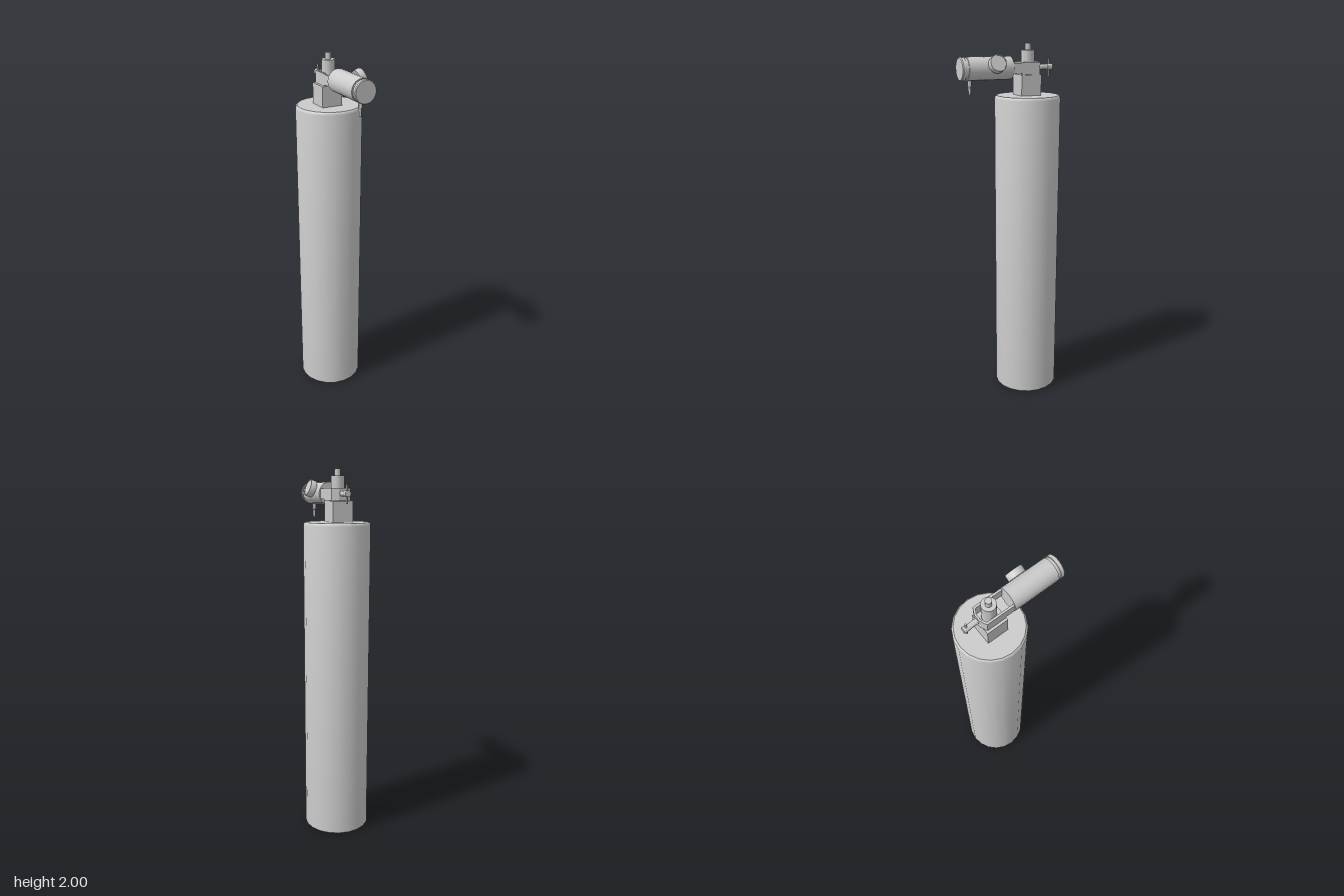
import * as THREE from 'three';
import { toCreasedNormals } from 'three/addons/utils/BufferGeometryUtils.js';

const grey = new THREE.MeshStandardMaterial({ color: 0xcccccc });

export function createModel() {
  const model = new THREE.Group();
  const AXIS_Z = -0.105; // tank and valve axis
  const REG_Y = 1.875; // regulator axis height

  const add = (name, geometry, x = 0, y = 0, z = 0) => {
    const mesh = new THREE.Mesh(geometry, grey);
    mesh.name = name;
    mesh.position.set(x, y, z);
    model.add(mesh);
    return mesh;
  };
  // Closed turned part from [radius, height] pairs, crisp at its edges
  const turned = (profile, sides = 20) => toCreasedNormals(
    new THREE.LatheGeometry(profile.map(([r, h]) => new THREE.Vector2(r, h)), sides), 0.6);

  // Tank
  add('tank', turned([[0, 0], [0.175, 0], [0.18, 0.005], [0.18, 1.712],
    [0.177, 1.722], [0.17, 1.728], [0, 1.728]]), 0, 0, AXIS_Z);

  // Valve block, with the post and knob rising through the yoke
  add('valveBlock', new THREE.BoxGeometry(0.115, 0.115, 0.115), -0.008, 1.781, AXIS_Z);
  add('valvePost', turned([[0, 1.83], [0.036, 1.83], [0.036, 1.966], [0.016, 1.966],
    [0.016, 2], [0, 2]]), -0.002, 0, AXIS_Z);

  // U-shaped yoke, drawn in plan (shape y = -z) and extruded upwards
  const yokePlan = (points, height) => {
    const shape = new THREE.Shape(points.map(([x, z]) => new THREE.Vector2(x, -z)));
    const g = new THREE.ExtrudeGeometry(shape, { depth: height, bevelEnabled: false });
    return g.rotateX(-Math.PI / 2);
  };
  const outer = [[0.053, -0.153], [0.018, -0.17]];
  const inner = [[0.042, -0.146], [0.016, -0.16]];
  const mirror = ([x, z]) => [-x, z];
  const uShape = (front) => [
    [0.053, front], ...outer, ...outer.map(mirror).reverse(), [-0.053, front],
    [-0.042, front], ...inner.map(mirror), ...[...inner].reverse(), [0.042, front],
  ];
  add('yokeFrame', yokePlan(uShape(0.003), 0.054), 0, 1.847, 0);
  add('yokeCollar', yokePlan(uShape(-0.05), 0.064), 0, 1.84, 0).scale.x = 1.01;

  // Yoke screw with its cross handle
  const screw = add('yokeScrew', turned([[0, 0.155], [0.014, 0.155], [0.014, 0.217],
    [0.016, 0.217], [0.016, 0.247], [0, 0.247]], 16), 0, REG_Y, 0);
  screw.rotation.x = -Math.PI / 2;
  add('screwHandle', new THREE.CylinderGeometry(0.005, 0.005, 0.096, 10), 0, 1.871, -0.23);

  // Regulator body with a groove before the end cap
  const body = add('regulatorBody', turned([[0, 0], [0.061, 0], [0.061, 0.248], [0.056, 0.248],
    [0.056, 0.262], [0.061, 0.262], [0.061, 0.279], [0.057, 0.284], [0, 0.284]]), 0, REG_Y, 0);
  body.rotation.x = Math.PI / 2;

  // Hose nozzle below the body
  add('hoseNozzle', turned([[0, 1.742], [0.006, 1.742], [0.008, 1.785], [0.011, 1.787],
    [0.011, 1.83], [0, 1.83]], 12), 0, 0, 0.23);

  // Pressure gauge tilted out from the body's left side
  const gauge = add('pressureGauge', turned([[0, -0.006], [0.012, -0.006], [0.012, 0],
    [0.046, 0], [0.046, 0.031], [0.044, 0.034], [0.04, 0.034], [0.04, 0.031], [0, 0.031]], 24),
  0.0565, 1.896, 0.099);
  gauge.rotation.z = -THREE.MathUtils.degToRad(70);

  return model;
}
